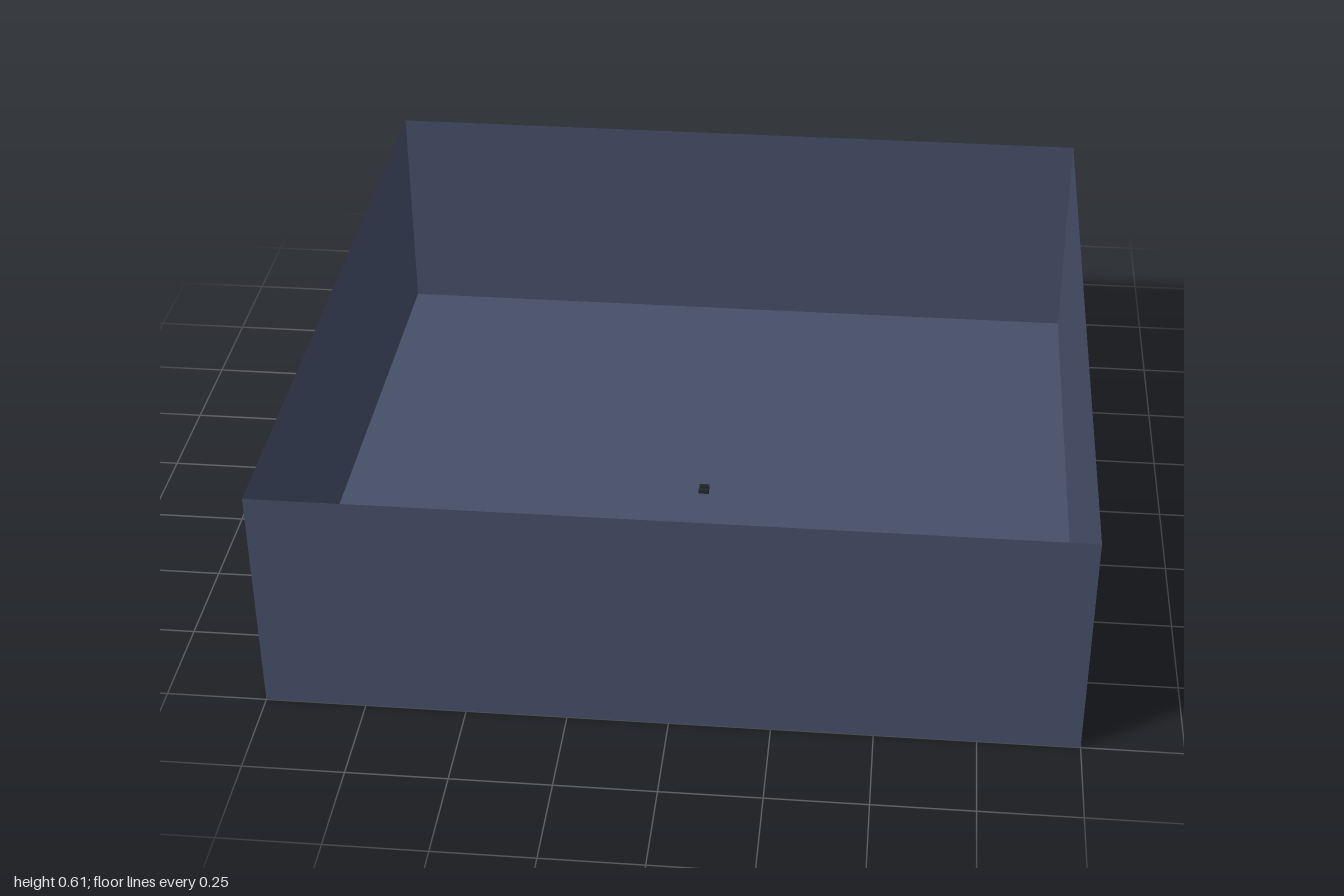
import * as THREE from 'three';

const SIZE = 2, HEIGHT = 0.605;

export function createModel() {
  const model = new THREE.Group();
  const panelMaterial = new THREE.MeshStandardMaterial({ color: 0x464f69, side: THREE.DoubleSide });
  const darkMaterial = new THREE.MeshStandardMaterial({ color: 0x22262b, flatShading: true });

  // Thin floor panel
  const floor = new THREE.Mesh(new THREE.PlaneGeometry(SIZE, SIZE).rotateX(-Math.PI / 2), panelMaterial);
  floor.name = 'floor';
  model.add(floor);

  // Four thin walls, turned around the centre
  ['frontWall', 'leftWall', 'backWall', 'rightWall'].forEach((name, i) => {
    const geometry = new THREE.PlaneGeometry(SIZE, HEIGHT).translate(0, HEIGHT / 2, SIZE / 2);
    const wall = new THREE.Mesh(geometry, panelMaterial);
    wall.rotation.y = i * Math.PI / 2;
    wall.name = name;
    model.add(wall);
  });

  // Tiny waisted piece standing in the middle of the floor
  const centrePiece = new THREE.Group();
  centrePiece.name = 'centrePiece';
  for (const side of [-1, 1]) {
    const end = new THREE.Mesh(new THREE.BoxGeometry(0.028, 0.012, 0.01), darkMaterial);
    end.position.set(0, 0.006, side * 0.01);
    end.name = side > 0 ? 'frontEnd' : 'backEnd';
    centrePiece.add(end);
  }
  const waist = new THREE.Mesh(new THREE.BoxGeometry(0.014, 0.018, 0.012), darkMaterial);
  waist.position.y = 0.009;
  waist.name = 'waist';
  centrePiece.add(waist);
  centrePiece.position.x = -0.004;
  model.add(centrePiece);

  return model;
}
